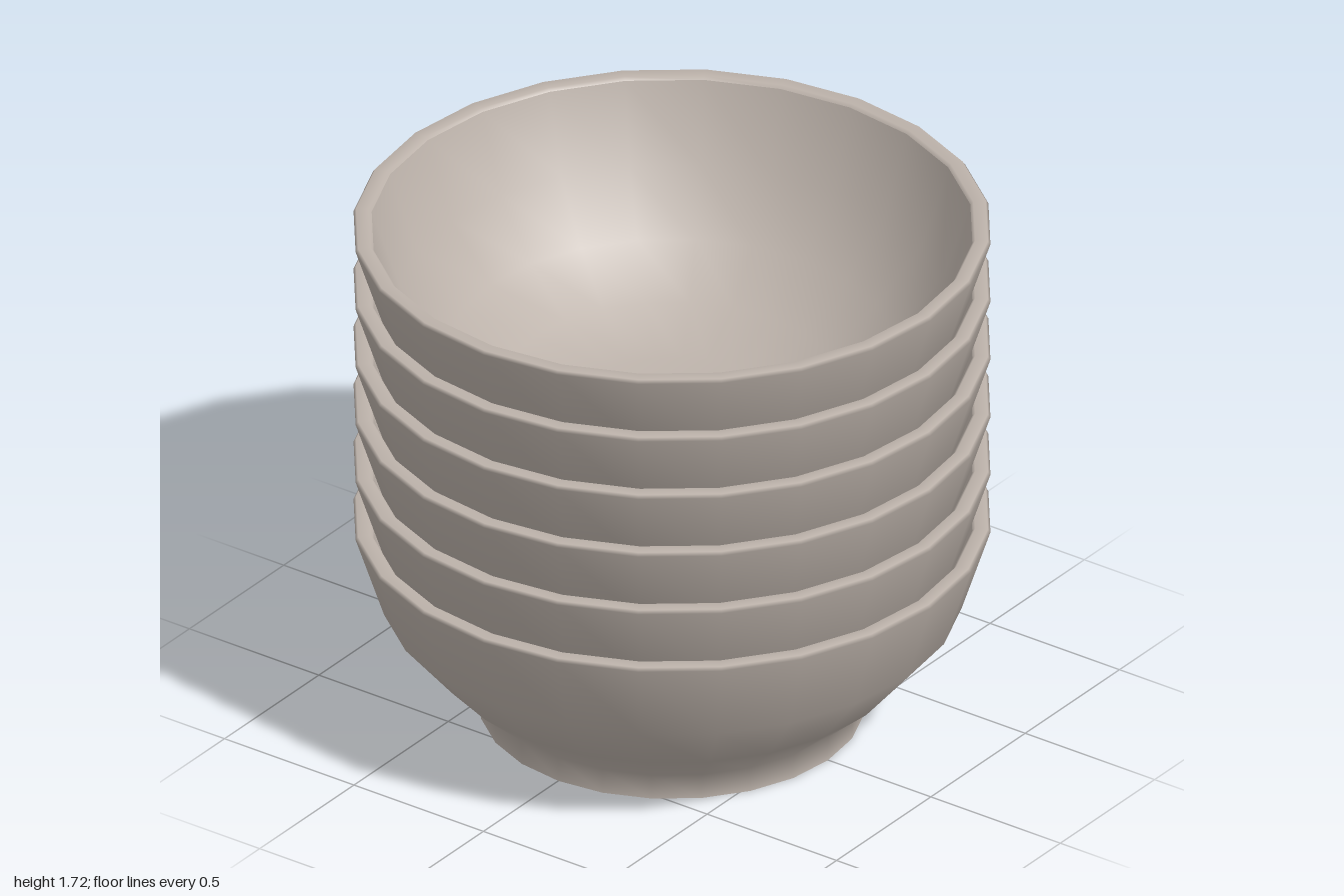
import * as THREE from 'three';

const SIDES = 24;
const BOWLS = 6;
const STEP = 0.2064;

// Each profile is lathed on its own, so the edges between them stay crisp.
const PROFILES = {
  base: [[0, 0], [0.603, 0]],
  outerWallAndRim: [
    [0.603, 0], [0.603, 0.083], [0.75, 0.21], [0.91, 0.4], [1, 0.676],
    [0.992, 0.687], [0.952, 0.687], [0.943, 0.677],
  ],
  innerWall: [[0.943, 0.677], [0.855, 0.42], [0.7, 0.24], [0.53, 0.11], [0.31, 0.035], [0, 0.03]],
};

export function createModel() {
  const group = new THREE.Group();
  group.name = 'bowlStack';
  const ceramic = new THREE.MeshStandardMaterial({ color: 0xbcb2aa });
  ceramic.name = 'warm grey ceramic';

  const parts = Object.entries(PROFILES).map(([name, points]) => ({
    name,
    geometry: new THREE.LatheGeometry(points.map(([r, y]) => new THREE.Vector2(r, y)), SIDES),
  }));

  // Identical bowls nested one inside the next
  for (let i = 0; i < BOWLS; i++) {
    const bowl = new THREE.Group();
    bowl.name = `bowl${i + 1}`;
    bowl.position.y = i * STEP;
    for (const { name, geometry } of parts) {
      const mesh = new THREE.Mesh(geometry, ceramic);
      mesh.name = name;
      bowl.add(mesh);
    }
    group.add(bowl);
  }
  return group;
}
